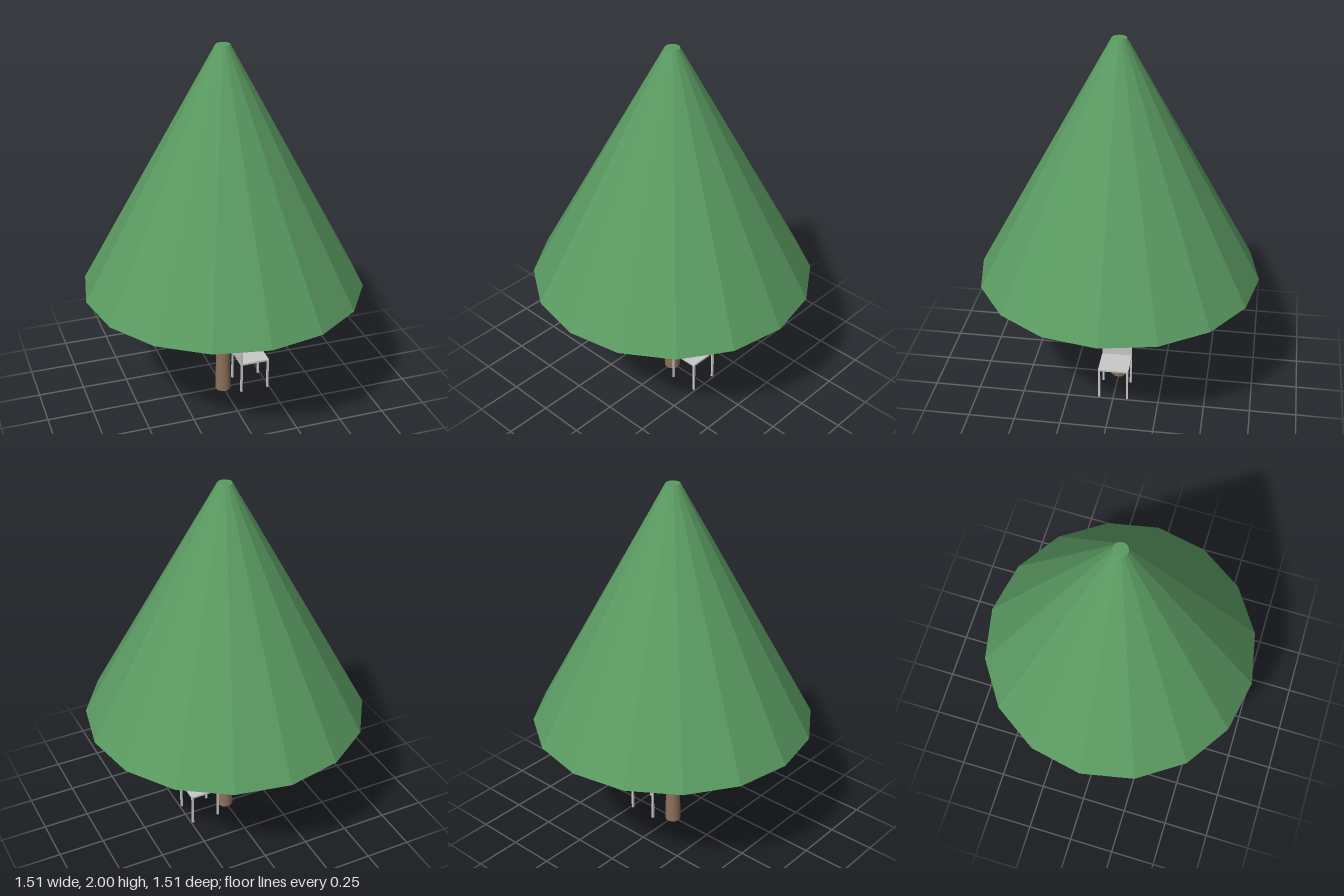
import * as THREE from 'three';

export function createModel() {
  const model = new THREE.Group();
  const flat = (name, color) => {
    const m = new THREE.MeshStandardMaterial({ color, flatShading: true });
    m.name = name;
    return m;
  };
  const foliage = flat('foliage green', 0x5b9b62);
  const bark = flat('bark brown', 0x8a7058);
  const paint = flat('chair grey', 0xc8c8c8);

  const add = (parent, name, geometry, material, x, y, z) => {
    const mesh = new THREE.Mesh(geometry, material);
    mesh.name = name;
    mesh.position.set(x, y, z);
    parent.add(mesh);
  };

  // Tree: sixteen-sided truncated cone on a tapered trunk
  add(model, 'crown', new THREE.CylinderGeometry(0.038, 0.753, 1.317, 16), foliage, 0, 1.3415, 0);
  add(model, 'trunk', new THREE.CylinderGeometry(0.031, 0.043, 0.69, 16), bark, 0, 0.345, 0);

  // Chair beside the trunk, facing +x
  const chair = new THREE.Group();
  chair.name = 'chair';
  chair.position.x = 0.161;
  model.add(chair);
  const half = 0.083, leg = 0.011, seatTop = 0.184, seatThick = 0.011;
  add(chair, 'seat', new THREE.BoxGeometry(half * 2, seatThick, half * 2), paint,
    0, seatTop - seatThick / 2, 0);
  add(chair, 'backrest', new THREE.BoxGeometry(leg, 0.161, half * 2), paint,
    -half + leg / 2, seatTop + 0.0805, 0);
  const legHeight = seatTop - seatThick;
  for (const sx of [-1, 1]) {
    for (const sz of [-1, 1]) {
      add(chair, 'leg', new THREE.BoxGeometry(leg, legHeight, leg), paint,
        sx * (half - leg / 2), legHeight / 2, sz * (half - leg / 2));
    }
  }
  return model;
}
